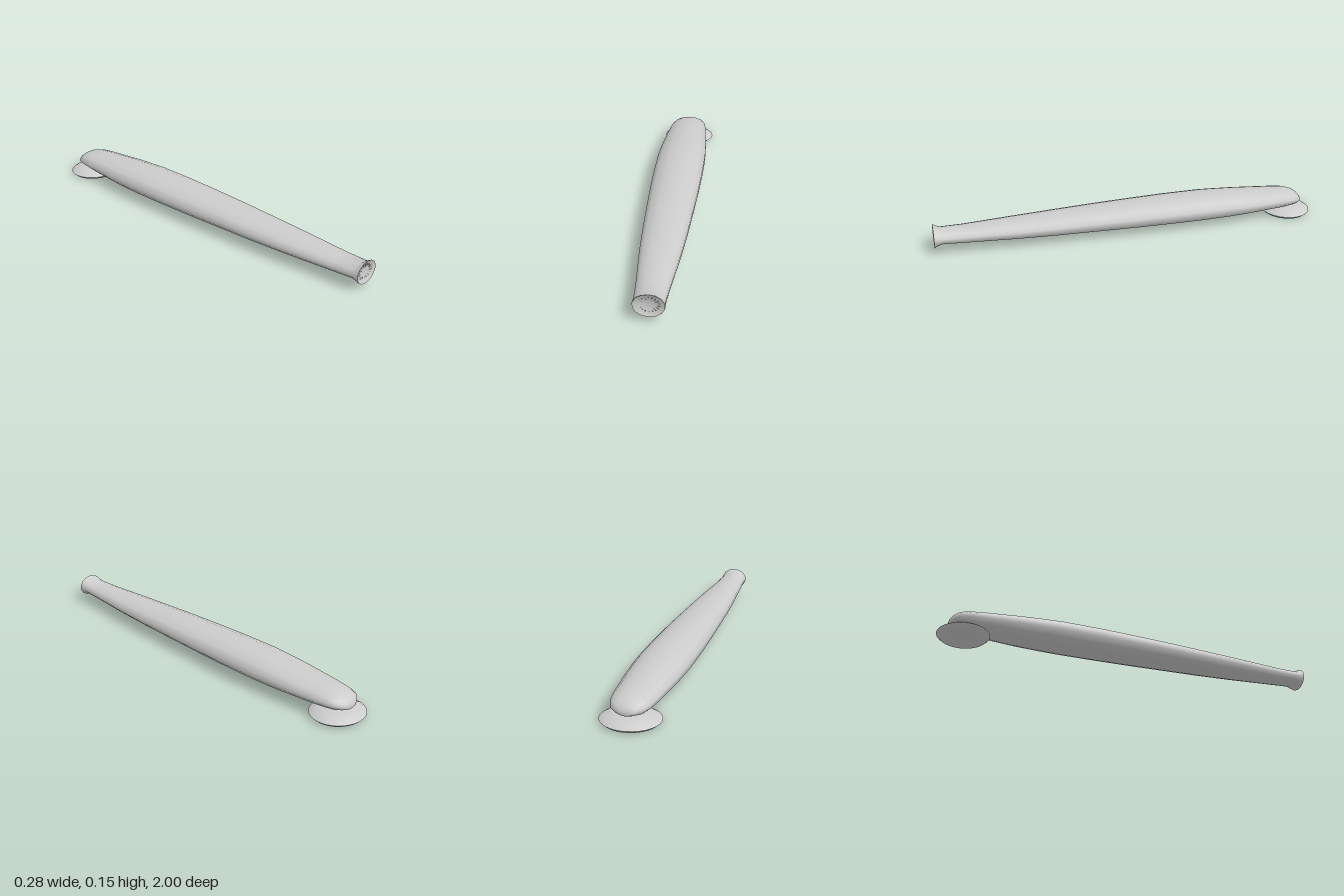
import * as THREE from 'three';
import { toCreasedNormals } from 'three/addons/utils/BufferGeometryUtils.js';

const SIDES = 14;

// Skin a row of elliptical sections [z, halfWidth, bottomY, topY], front to back.
function loft(sections) {
  const pos = [], idx = [];
  for (const [z, w, lo, hi] of sections) {
    for (let j = 0; j < SIDES; j++) {
      const a = (j / SIDES) * Math.PI * 2;
      pos.push(w * Math.sin(a), (lo + hi) / 2 + ((hi - lo) / 2) * Math.cos(a), z);
    }
  }
  for (let i = 0; i < sections.length - 1; i++) {
    for (let j = 0; j < SIDES; j++) {
      const k = (j + 1) % SIDES;
      const a = i * SIDES + j, b = i * SIDES + k;
      idx.push(a, b, a + SIDES, b, b + SIDES, a + SIDES);
    }
  }
  const g = new THREE.BufferGeometry();
  g.setAttribute('position', new THREE.Float32BufferAttribute(pos, 3));
  g.setIndex(idx);
  return toCreasedNormals(g, 1.1);
}

export function createModel() {
  const model = new THREE.Group();
  const grey = new THREE.MeshStandardMaterial({ color: 0xcccccc });
  grey.name = 'light grey';
  const add = (name, geometry, parent = model) => {
    const mesh = new THREE.Mesh(geometry, grey);
    mesh.name = name;
    parent.add(mesh);
    return mesh;
  };

  // Swelling handle: dished front end, flared rim, narrow neck, rounded tail
  add('handle', loft([
    [0.982, 0.0005, 0.079, 0.08],
    [0.988, 0.04, 0.046, 0.112],
    [1.0, 0.072, 0.022, 0.136],
    [0.985, 0.072, 0.032, 0.126],
    [0.965, 0.071, 0.043, 0.115],
    [0.85, 0.078, 0.039, 0.115],
    [0.6, 0.099, 0.031, 0.124],
    [0.4, 0.111, 0.026, 0.132],
    [0.2, 0.12, 0.023, 0.14],
    [0.0, 0.128, 0.02, 0.146],
    [-0.2, 0.133, 0.018, 0.151],
    [-0.4, 0.134, 0.018, 0.152],
    [-0.5, 0.13, 0.02, 0.148],
    [-0.6, 0.124, 0.023, 0.143],
    [-0.8, 0.106, 0.035, 0.129],
    [-0.87, 0.096, 0.041, 0.122],
    [-0.91, 0.082, 0.045, 0.112],
    [-0.932, 0.058, 0.05, 0.098],
    [-0.945, 0.034, 0.055, 0.082],
    [-0.95, 0.0005, 0.064, 0.065],
  ]));

  // Small raised flutes radiating over the dished end
  const flutes = new THREE.Group();
  flutes.name = 'endFlutes';
  flutes.position.set(0, 0.079, 0.988);
  flutes.scale.set(1, 0.8, 1);
  model.add(flutes);
  for (let i = 0; i < 18; i++) {
    const a = (i / 18) * Math.PI * 2;
    const flute = add('endFlute', new THREE.ConeGeometry(0.004, 0.026, 4), flutes);
    flute.position.set(Math.sin(a) * 0.045, Math.cos(a) * 0.045, 0.002);
    flute.rotation.z = Math.PI - a;
  }

  // Domed oval foot under the tail
  const profile = [[0, 0], [0.126, 0], [0.141, 0.013], [0.117, 0.028], [0.085, 0.037], [0.045, 0.043], [0, 0.045]]
    .map(([r, y]) => new THREE.Vector2(r, y));
  const foot = add('foot', toCreasedNormals(new THREE.LatheGeometry(profile, 32), 0.9));
  foot.scale.z = 0.91;
  foot.position.z = -0.872;

  return model;
}
